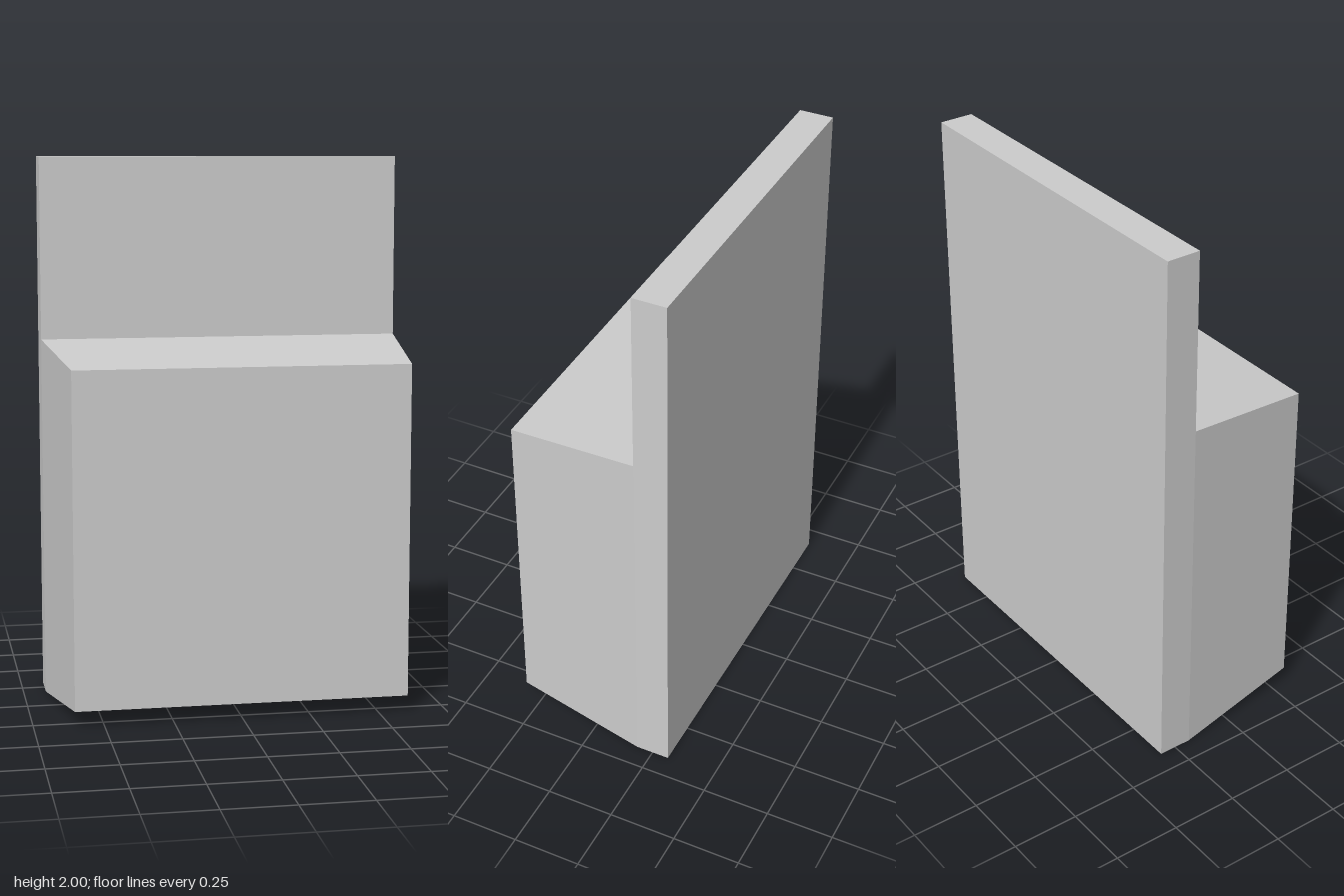
import * as THREE from 'three';

const WIDTH = 1.333, HEIGHT = 2, BODY_HEIGHT = 1.333;
const BACK_Z = -0.313, STEP_Z = -0.187, FRONT_Z = 0.313;
const FRONT_SCALE = 0.909; // how far the body narrows toward its front

// Box spanning z0..z1, standing on y = 0, its front face scaled about its centre
function taperedBox(name, width, height, z0, z1, frontScale, material) {
  const geometry = new THREE.BoxGeometry(width, height, z1 - z0);
  const p = geometry.attributes.position;
  for (let i = 0; i < p.count; i++) {
    if (p.getZ(i) > 0) p.setXY(i, p.getX(i) * frontScale, p.getY(i) * frontScale);
  }
  geometry.translate(0, height / 2, (z0 + z1) / 2);
  geometry.computeVertexNormals();
  const mesh = new THREE.Mesh(geometry, material);
  mesh.name = name;
  return mesh;
}

export function createModel() {
  const group = new THREE.Group();
  group.name = 'panelWithTaperedBody';
  const material = new THREE.MeshStandardMaterial({ color: 0xcccccc, flatShading: true });

  // Tall flat panel at the back
  group.add(taperedBox('backPanel', WIDTH, HEIGHT, BACK_Z, STEP_Z, 1, material));

  // Lower body, tapering evenly on all four sides toward the front
  group.add(taperedBox('taperedBody', WIDTH, BODY_HEIGHT, STEP_Z, FRONT_Z, FRONT_SCALE, material));

  return group;
}
